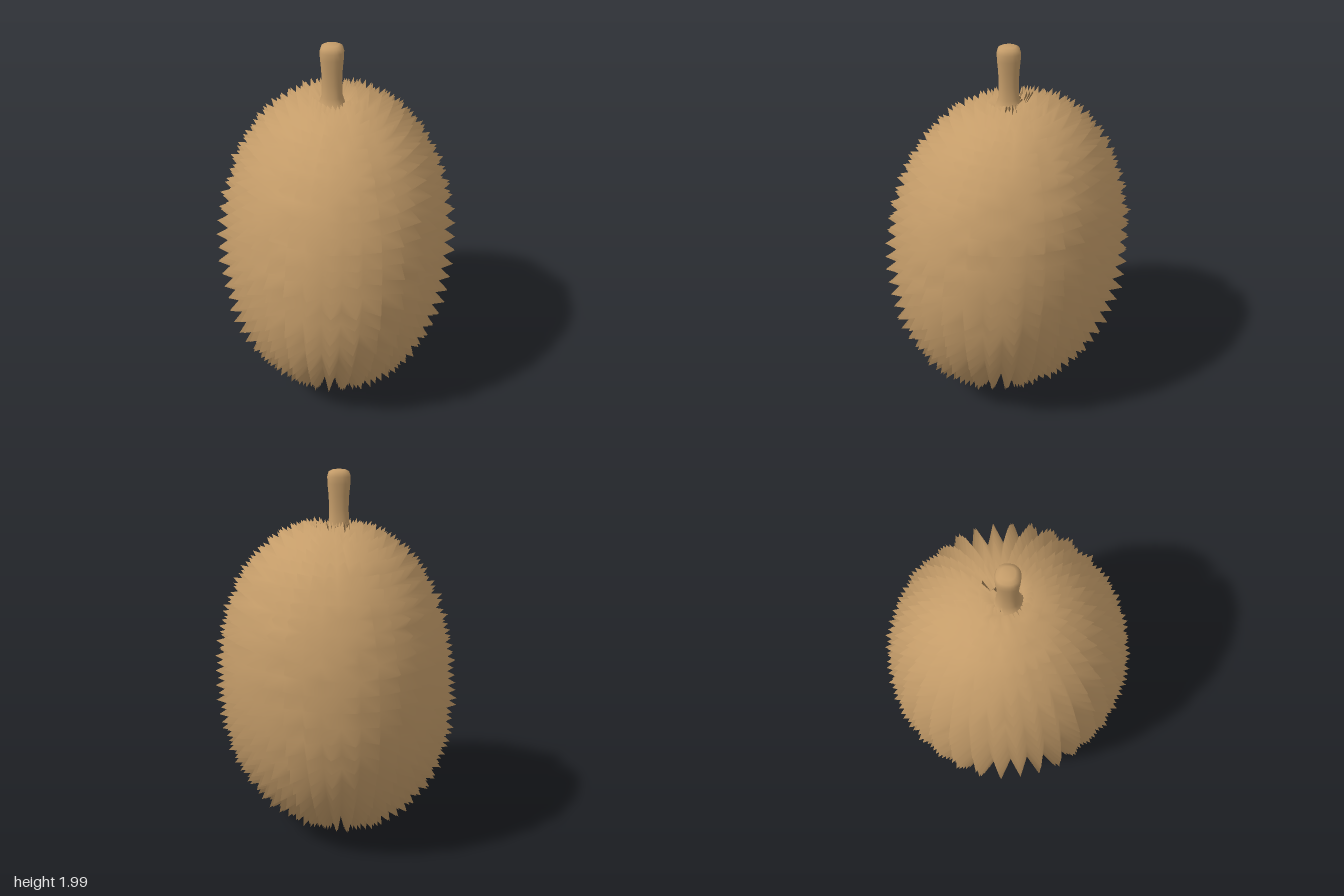
import * as THREE from 'three';
import { mergeVertices } from 'three/addons/utils/BufferGeometryUtils.js';

const CENTRE_Y = 0.885;
const RADIUS = new THREE.Vector3(0.54, 0.805, 0.555);
const POWER = 2.14; // slightly fuller than an ellipsoid
const COLUMNS = 34;
const ROWS = 32;

// Point on the husk for a column and row; the fruit is lopsided and leans a little
function huskPoint(column, row) {
  const around = (column / COLUMNS) * Math.PI * 2;
  const down = (row / ROWS) * Math.PI;
  const flat = Math.abs(Math.sin(down));
  const up = Math.cos(down);
  const k = Math.pow(Math.pow(flat, POWER) + Math.pow(Math.abs(up), POWER), -1 / POWER);
  const lobe = 1 + 0.035 * Math.sin(2 * around) + 0.018 * Math.cos(around - Math.PI / 4);
  const r = flat * k * lobe * (1 - 0.03 * up);
  const y = up * k * RADIUS.y;
  return new THREE.Vector3(
    Math.sin(around) * r * RADIUS.x + 0.02 * y - 0.006,
    y + CENTRE_Y,
    Math.cos(around) * r * RADIUS.z - 0.045 * y - 0.006,
  );
}

// Outward direction of the husk at a point
function huskNormal(p) {
  const q = p.clone().sub(new THREE.Vector3(0, CENTRE_Y, 0));
  return q.divide(RADIUS).divide(RADIUS).normalize();
}

// Weld the corners and smooth the shading over the whole surface
function smooth(geometry) {
  geometry.deleteAttribute('uv');
  geometry.deleteAttribute('normal');
  const welded = mergeVertices(geometry, 1e-4);
  welded.computeVertexNormals();
  return welded;
}

// Columns and rows of pyramid spikes from pole to pole
function huskGeometry() {
  let seed = 7;
  const random = () => (seed = (seed * 16807) % 2147483647) / 2147483647;
  const positions = [];
  for (let i = 0; i < COLUMNS; i++) {
    for (let j = 0; j < ROWS; j++) {
      const right = (i + 1) % COLUMNS;
      const corners = [
        huskPoint(i, j + 1), huskPoint(right, j + 1), huskPoint(right, j), huskPoint(i, j),
      ];
      const middle = huskPoint(i + 0.5, j + 0.5);
      const normal = huskNormal(middle);
      // Spikes are longest on the sides and fade out at the poles
      const side = Math.hypot(normal.x, normal.z);
      const fade = THREE.MathUtils.smoothstep(Math.hypot(middle.x, middle.z), 0, 0.13);
      const length = (0.06 + 0.05 * side) * fade * (0.9 + 0.2 * random());
      const tip = middle.addScaledVector(normal, length);
      for (let c = 0; c < 4; c++) {
        const a = corners[c];
        const b = corners[(c + 1) % 4];
        if (a.distanceTo(b) < 1e-4) continue; // collapsed edge at a pole
        for (const p of [a, b, tip]) positions.push(p.x, p.y, p.z);
      }
    }
  }
  const geometry = new THREE.BufferGeometry();
  geometry.setAttribute('position', new THREE.Float32BufferAttribute(positions, 3));
  return smooth(geometry);
}

// Stalk with a rounded square section, flared at the foot and swollen at the end
function stalkGeometry() {
  const profile = [
    [0.1, 1.65], [0.068, 1.69], [0.055, 1.73], [0.052, 1.8], [0.055, 1.87],
    [0.061, 1.93], [0.062, 1.965], [0.055, 1.988], [0.035, 1.998], [0, 2],
  ].map(([r, y]) => new THREE.Vector2(r, y));
  const geometry = new THREE.LatheGeometry(profile, 24);
  const pos = geometry.attributes.position;
  for (let i = 0; i < pos.count; i++) {
    const angle = Math.atan2(pos.getZ(i), pos.getX(i));
    const k = 1 - 0.035 * Math.cos(4 * angle);
    pos.setX(i, pos.getX(i) * k);
    pos.setZ(i, pos.getZ(i) * k);
  }
  return smooth(geometry);
}

export function createModel() {
  const group = new THREE.Group();
  group.name = 'spikyFruit';
  const tan = new THREE.MeshStandardMaterial({ color: 0xc49c69 });
  tan.name = 'tan husk';

  const husk = new THREE.Mesh(huskGeometry(), tan);
  husk.name = 'spikyHusk';
  const stalk = new THREE.Mesh(stalkGeometry(), tan);
  stalk.name = 'stalk';
  stalk.position.set(-0.016, 0, -0.003);
  group.add(husk, stalk);
  return group;
}
